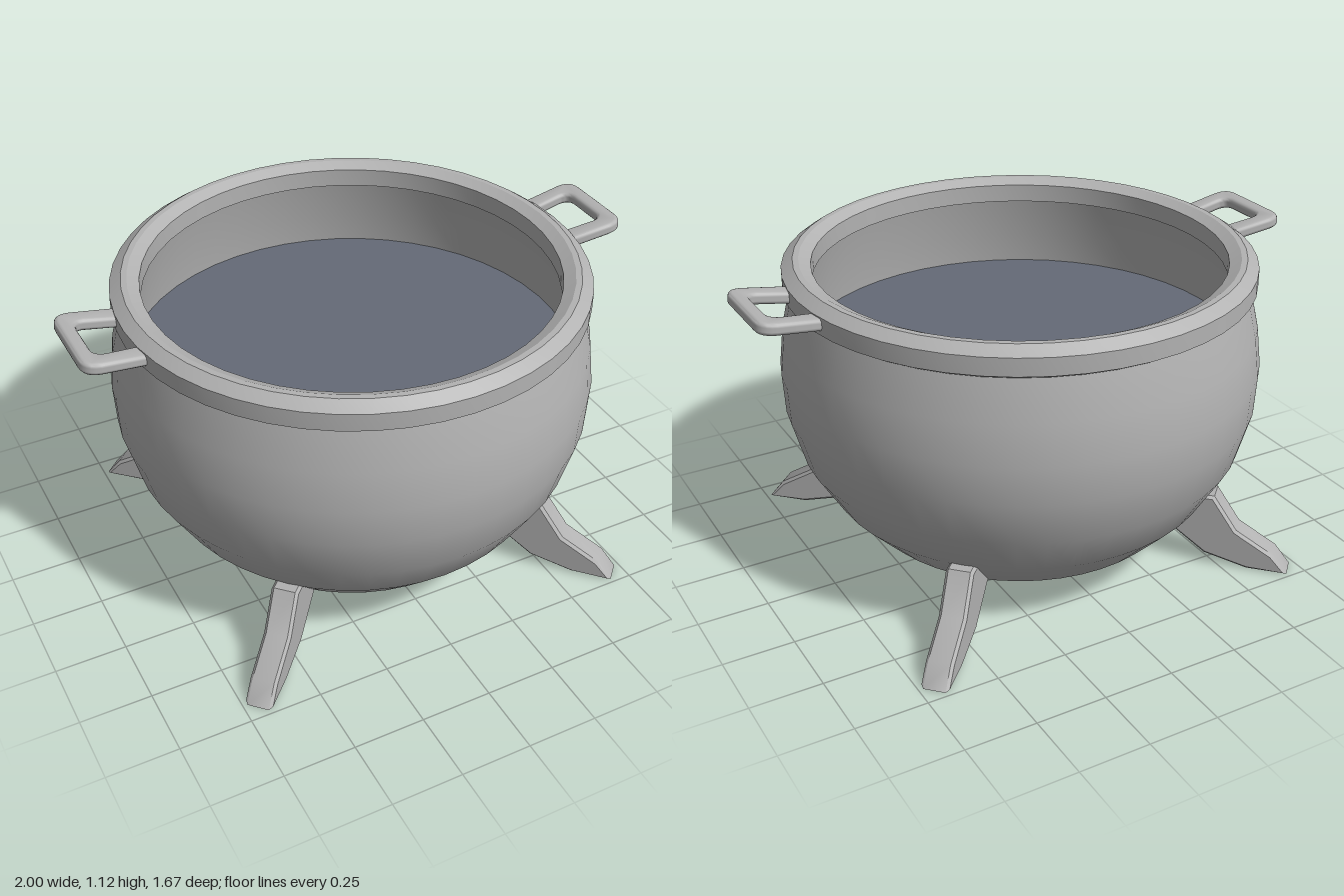
import * as THREE from 'three';
import { toCreasedNormals } from 'three/addons/utils/BufferGeometryUtils.js';

const iron = new THREE.MeshStandardMaterial({ color: 0xb2b2b2 });
iron.name = 'iron grey';
const brew = new THREE.MeshStandardMaterial({ color: 0x646a77 });
brew.name = 'slate liquid';

const SEGMENTS = 48;

function mesh(name, geometry, material = iron) {
  const m = new THREE.Mesh(geometry, material);
  m.name = name;
  return m;
}

function lathe(name, points) {
  const profile = points.map(([r, y]) => new THREE.Vector2(r, y));
  return mesh(name, toCreasedNormals(new THREE.LatheGeometry(profile, SEGMENTS), 0.45));
}

// Bevelled slab centred on its thickness, keeping the drawn outline as outer size
function slab(shape, thickness, bevel, bevelSegments) {
  const g = new THREE.ExtrudeGeometry(shape, {
    depth: thickness - 2 * bevel, bevelEnabled: true, bevelThickness: bevel,
    bevelSize: bevel, bevelOffset: -bevel, bevelSegments, curveSegments: 6,
  });
  g.translate(0, 0, bevel - thickness / 2);
  return toCreasedNormals(g, 0.7);
}

// Leg side profile: x is distance from the pot's axis, y is height
function legGeometry() {
  const outline = [
    [0.5, 0.19], [0.7, 0.04], [0.855, 0], [1.0, 0], [0.945, 0.07],
    [0.81, 0.15], [0.725, 0.278], [0.62, 0.278],
  ];
  return slab(new THREE.Shape(outline.map(([x, y]) => new THREE.Vector2(x, y))), 0.095, 0.01, 1);
}

// U-shaped handle, measured outward from the rim, laid flat and tilted up
function handleGeometry() {
  const s = new THREE.Shape();
  s.moveTo(-0.04, -0.155);
  s.lineTo(0.14, -0.168);
  s.quadraticCurveTo(0.2, -0.168, 0.2, -0.11);
  s.lineTo(0.2, 0.11);
  s.quadraticCurveTo(0.2, 0.168, 0.14, 0.168);
  s.lineTo(-0.04, 0.155);
  s.lineTo(-0.04, 0.085);
  s.lineTo(0.11, 0.1);
  s.quadraticCurveTo(0.145, 0.1, 0.145, 0.065);
  s.lineTo(0.145, -0.065);
  s.quadraticCurveTo(0.145, -0.1, 0.11, -0.1);
  s.lineTo(-0.04, -0.085);
  s.closePath();
  const g = slab(s, 0.042, 0.014, 3);
  g.rotateX(-Math.PI / 2);
  g.rotateZ(0.14);
  g.translate(0.8, 1.072, 0);
  return g;
}

export function createModel() {
  const model = new THREE.Group();
  model.name = 'cauldron';

  // Rounded bowl
  model.add(lathe('bowl', [
    [0, 0.05], [0.425, 0.05], [0.565, 0.145], [0.69, 0.275], [0.785, 0.435],
    [0.83, 0.6], [0.837, 0.74], [0.82, 0.88], [0.785, 1.03],
  ]));

  // Inner wall down to the liquid
  model.add(lathe('innerWall', [[0.73, 1.04], [0.765, 0.88], [0.78, 0.75]]));

  // Bevelled rim ring
  model.add(lathe('rim', [
    [0.73, 1.035], [0.785, 1.02], [0.81, 1.035], [0.81, 1.097], [0.77, 1.125],
    [0.75, 1.125], [0.71, 1.105], [0.71, 1.04], [0.73, 1.035],
  ]));

  // Liquid surface
  const liquid = mesh('liquid', new THREE.CircleGeometry(0.782, SEGMENTS), brew);
  liquid.rotation.x = -Math.PI / 2;
  liquid.position.y = 0.77;
  model.add(liquid);

  // Four splayed legs on the diagonals
  const leg = legGeometry();
  for (let i = 0; i < 4; i++) {
    const m = mesh('leg', leg);
    m.rotation.y = Math.PI / 4 + i * Math.PI / 2;
    model.add(m);
  }

  // Side handles
  const handle = handleGeometry();
  for (const [name, turn] of [['leftHandle', 0], ['rightHandle', Math.PI]]) {
    const m = mesh(name, handle);
    m.rotation.y = turn;
    model.add(m);
  }

  return model;
}
